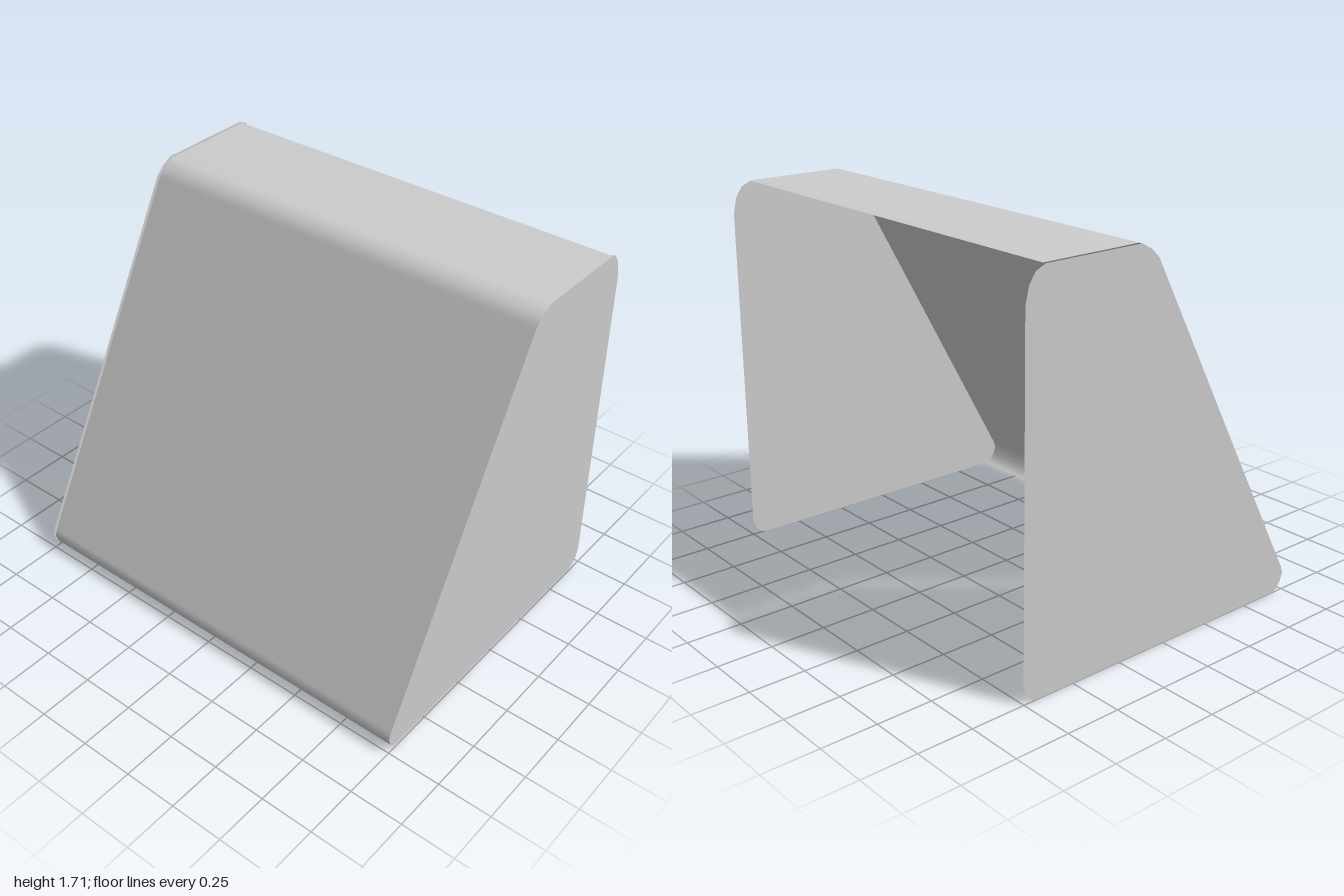
import * as THREE from 'three';

export function createModel() {
  const group = new THREE.Group();
  const material = new THREE.MeshStandardMaterial({ color: 0xcccccc, side: THREE.DoubleSide });

  // Profile of the bent sheet, from the bottom lip up the slope to the top edge
  const sheetProfile = [
    [-0.69, 0], [-0.715, 0.012], [-0.738, 0.04], [-0.752, 0.08], [-0.74, 0.112],
    [0.1, 1.64], [0.14, 1.677], [0.19, 1.705], [0.66, 1.705],
  ];
  // Rounded free edge that closes the outline of the end panels
  const freeEdge = [
    [0.705, 1.685], [0.735, 1.64], [0.752, 1.57],
    [0.752, 0.08], [0.738, 0.035], [0.715, 0.012], [0.685, 0],
  ];

  // Flat end panels
  const outline = [...sheetProfile, ...freeEdge].map(([x, y]) => new THREE.Vector2(x, y));
  const panelGeometry = new THREE.ShapeGeometry(new THREE.Shape(outline));
  for (const [name, z] of [['frontPanel', 0.992], ['backPanel', -1]]) {
    const panel = new THREE.Mesh(panelGeometry, material);
    panel.name = name;
    panel.position.z = z;
    if (z < 0) {
      // Turn the outside of the back panel towards -z
      panel.geometry = panelGeometry.clone().scale(-1, 1, 1).rotateY(Math.PI);
      panel.geometry.index.array.reverse();
      panel.geometry.computeVertexNormals();
      panel.geometry.scale(1, 1, 0);
      panel.geometry.computeVertexNormals();
    }
    group.add(panel);
  }

  // One bent sheet: lip, slope and top
  const sheetGeometry = new THREE.PlaneGeometry(1, 1, sheetProfile.length - 1, 1);
  const position = sheetGeometry.attributes.position;
  for (let i = 0; i < position.count; i++) {
    const [x, y] = sheetProfile[i % sheetProfile.length];
    position.setXYZ(i, x, y, position.getY(i) > 0 ? -0.985 : 1);
  }
  sheetGeometry.computeVertexNormals();
  const sheet = new THREE.Mesh(sheetGeometry, material);
  sheet.name = 'bentSheet';
  group.add(sheet);

  return group;
}
